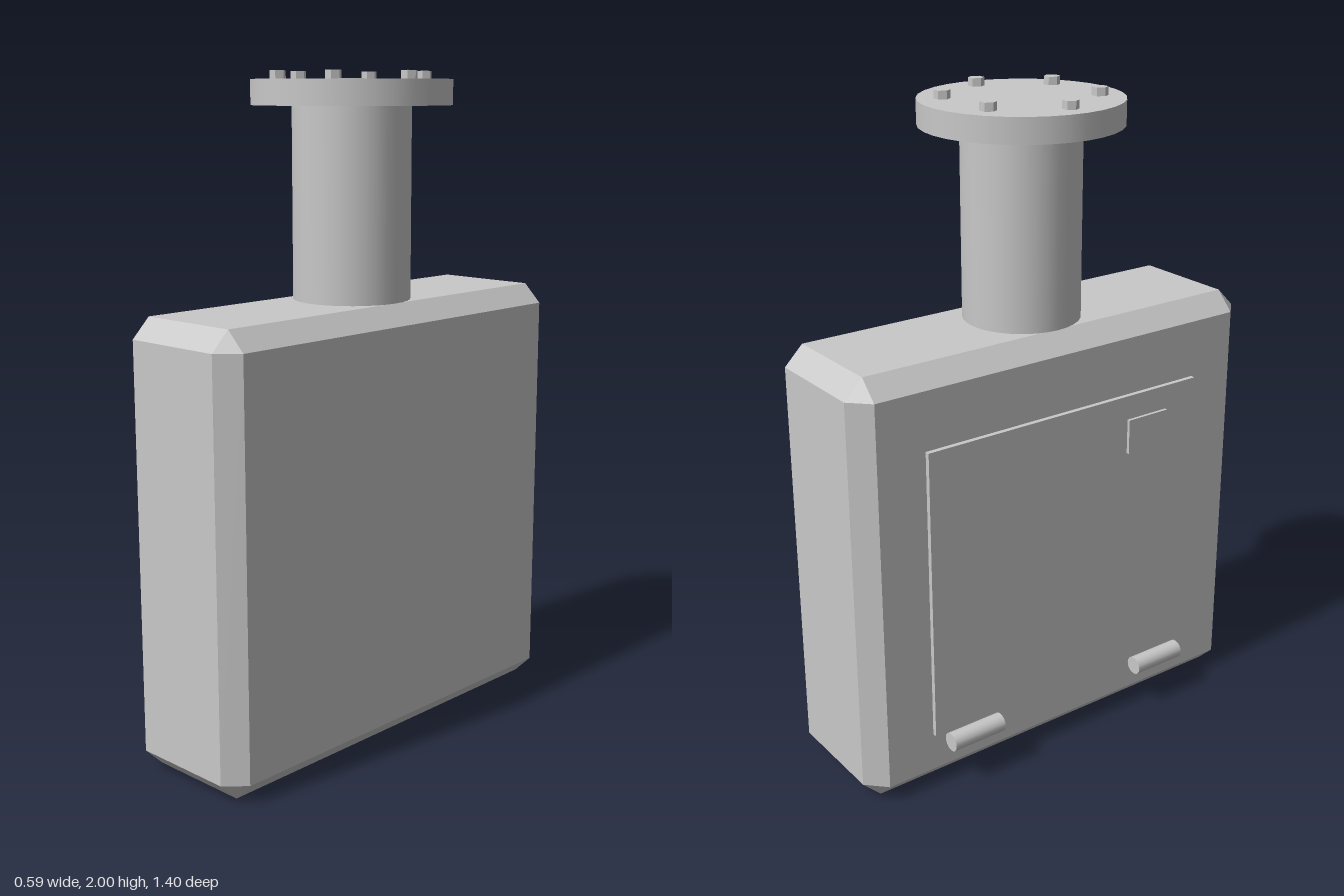
import * as THREE from 'three';
import { ConvexGeometry } from 'three/addons/geometries/ConvexGeometry.js';

export function createModel() {
  const model = new THREE.Group();
  const grey = new THREE.MeshStandardMaterial({ color: 0xc8c8c8 });
  grey.name = 'plain grey';

  function add(name, geometry, x, y, z) {
    const mesh = new THREE.Mesh(geometry, grey);
    mesh.name = name;
    mesh.position.set(x, y, z);
    model.add(mesh);
    return mesh;
  }

  // Box with bevelled edges and triangular corners
  function chamferedBox(hx, hy, hz, c) {
    const points = [];
    for (const sx of [-1, 1]) for (const sy of [-1, 1]) for (const sz of [-1, 1]) {
      points.push(
        new THREE.Vector3(sx * hx, sy * (hy - c), sz * (hz - c)),
        new THREE.Vector3(sx * (hx - c), sy * hy, sz * (hz - c)),
        new THREE.Vector3(sx * (hx - c), sy * (hy - c), sz * hz)
      );
    }
    return new ConvexGeometry(points);
  }

  const bodyTop = 1.333;
  add('body', chamferedBox(0.222, bodyTop / 2, 0.702, 0.058), 0, bodyTop / 2, 0);

  // Neck and flange
  add('neck', new THREE.CylinderGeometry(0.176, 0.176, 0.567, 32), 0, 1.6185, 0);
  add('flange', new THREE.CylinderGeometry(0.296, 0.296, 0.074, 32), 0, 1.939, 0);

  // Ring of hexagonal bolts
  const boltGeometry = new THREE.CylinderGeometry(0.024, 0.024, 0.03, 6).toNonIndexed();
  boltGeometry.rotateY(Math.PI / 6);
  boltGeometry.computeVertexNormals();
  for (let i = 0; i < 6; i++) {
    const a = (i * Math.PI) / 3;
    add('bolt', boltGeometry, 0.222 * Math.cos(a), 1.985, 0.222 * Math.sin(a));
  }

  // Door on the side, with its latch plate
  add('door', new THREE.BoxGeometry(0.02, 0.917, 0.978), -0.227, 0.639, 0);
  add('latchPlate', new THREE.BoxGeometry(0.012, 0.11, 0.15), -0.241, 0.967, 0.297);

  // Hinge barrels below the door
  for (const side of [-1, 1]) {
    const hinge = add('hinge', new THREE.CylinderGeometry(0.029, 0.029, 0.18, 16), -0.252, 0.151, side * 0.356);
    hinge.rotation.x = Math.PI / 2;
  }

  return model;
}
